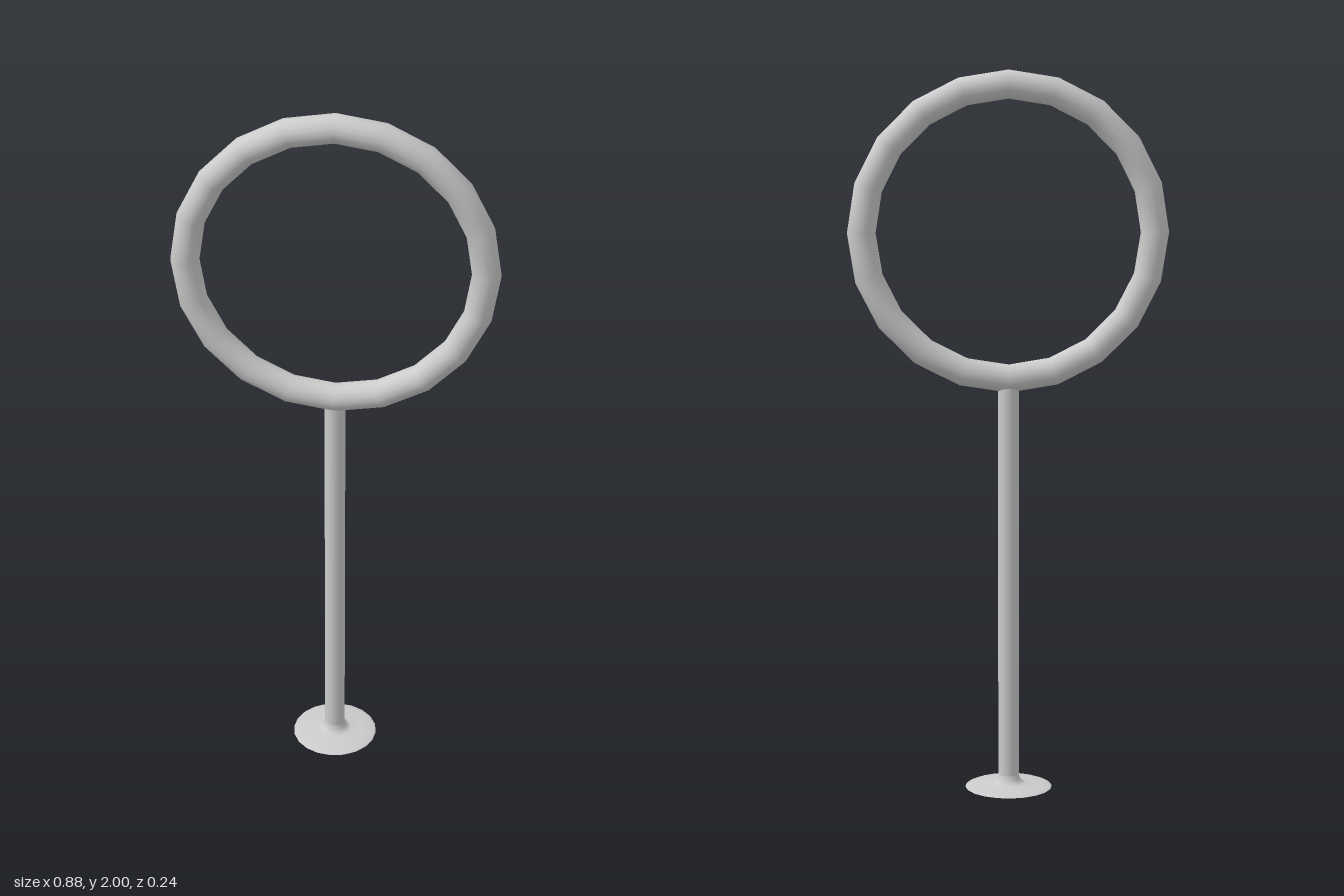
import * as THREE from 'three';

export function createModel() {
  const group = new THREE.Group();
  const material = new THREE.MeshStandardMaterial({ color: 0xcccccc });
  const openMaterial = new THREE.MeshStandardMaterial({ color: 0xcccccc, side: THREE.DoubleSide });
  const add = (name, geometry, mat, y) => {
    const mesh = new THREE.Mesh(geometry, mat);
    mesh.name = name;
    mesh.position.y = y;
    group.add(mesh);
  };

  // Upright hoop with 20 straight segments
  add('hoop', new THREE.TorusGeometry(0.401, 0.039, 16, 20), material, 1.56);

  // Slim hollow pole, its top end buried in the hoop
  const poleBottom = 0.035, poleTop = 1.145;
  add('pole', new THREE.CylinderGeometry(0.029, 0.029, poleTop - poleBottom, 20, 1, true),
    openMaterial, (poleBottom + poleTop) / 2);

  // Thin flared foot, open underneath
  const profile = [[0.122, 0], [0.11, 0.005], [0.08, 0.008], [0.048, 0.01],
    [0.038, 0.015], [0.032, 0.024], [0.029, 0.036]].map(([r, y]) => new THREE.Vector2(r, y));
  add('foot', new THREE.LatheGeometry(profile, 20), openMaterial, 0);

  return group;
}
